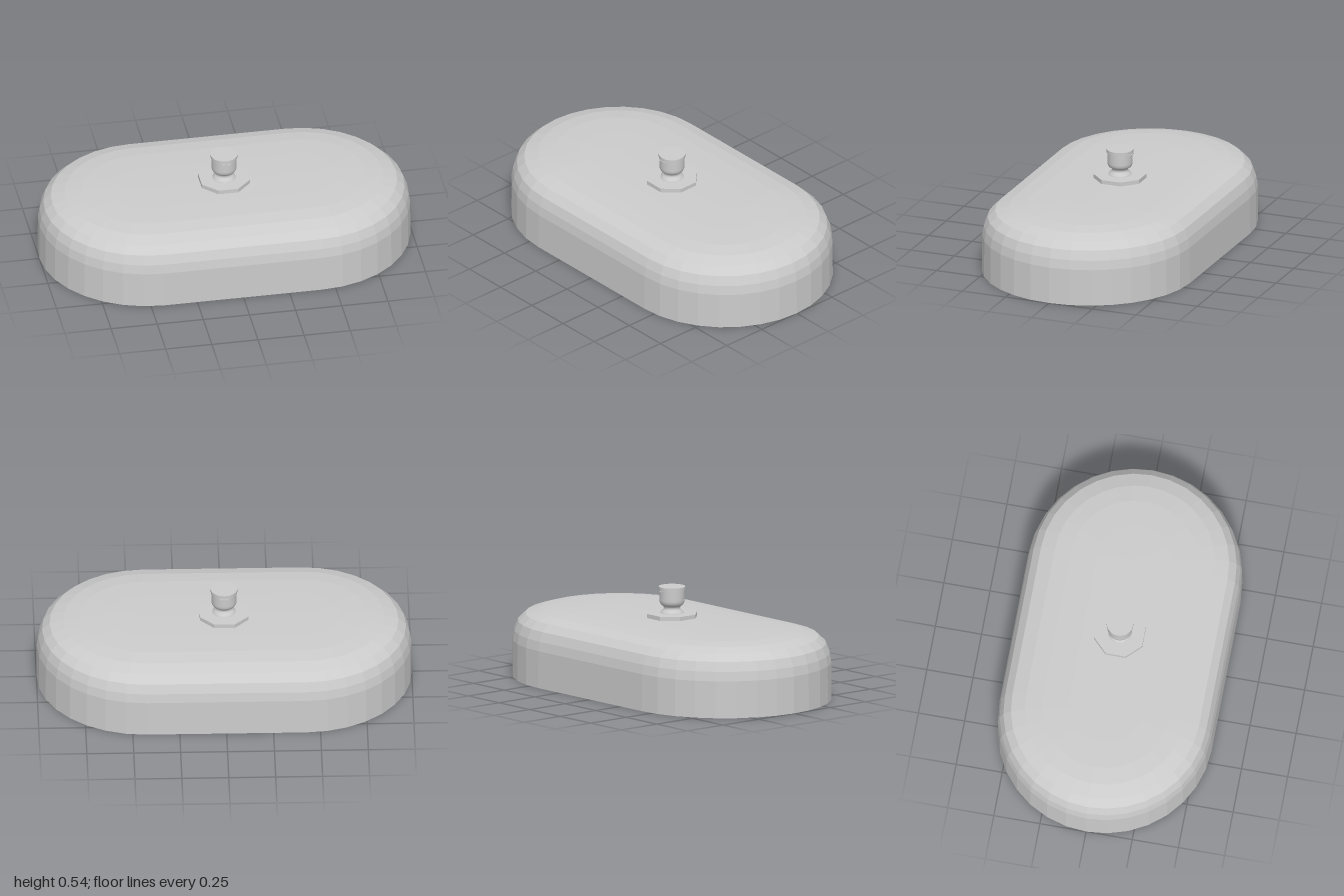
import * as THREE from 'three';

const HALF_STRAIGHT = 0.425; // half length of the straight sides
const ARC_STEPS = 16;        // facets per rounded end

const grey = new THREE.MeshStandardMaterial({ color: 0xcccccc });
const facetedGrey = new THREE.MeshStandardMaterial({ color: 0xcccccc, flatShading: true });

// Closed stadium outline of radius r at height y
function stadium(r, y) {
  const points = [];
  for (const side of [1, -1]) {
    for (let i = 0; i <= ARC_STEPS; i++) {
      const a = -Math.PI / 2 + (i / ARC_STEPS) * Math.PI;
      points.push([side * (HALF_STRAIGHT + r * Math.cos(a)), y, side * r * Math.sin(a)]);
    }
  }
  return points;
}

// Skin a [radius, height] profile around the stadium
function loftStadium(profile) {
  const rings = profile.map(([r, y]) => stadium(r, y));
  const n = rings[0].length;
  const index = [];
  for (let k = 0; k < rings.length - 1; k++) {
    for (let i = 0; i < n; i++) {
      const a = k * n + i, b = k * n + ((i + 1) % n);
      index.push(a, a + n, b, b, a + n, b + n);
    }
  }
  const indexed = new THREE.BufferGeometry();
  indexed.setAttribute('position', new THREE.Float32BufferAttribute(rings.flat(2), 3));
  indexed.setIndex(index);
  const geometry = indexed.toNonIndexed();
  geometry.computeVertexNormals();
  return geometry;
}

// Evenly spaced [x, z] spots along a stadium line of radius r
function spotsAround(r, spacing) {
  const straight = 2 * HALF_STRAIGHT, arc = Math.PI * r;
  const half = straight + arc;
  const count = Math.round(half / spacing);
  const spots = [];
  for (const side of [1, -1]) {
    for (let i = 0; i < count; i++) {
      const d = (i / count) * half;
      if (d < straight) {
        spots.push([side * (d - HALF_STRAIGHT), -side * r]);
      } else {
        const a = -Math.PI / 2 + (d - straight) / r;
        spots.push([side * (HALF_STRAIGHT + r * Math.cos(a)), side * r * Math.sin(a)]);
      }
    }
  }
  return spots;
}

export function createModel() {
  const model = new THREE.Group();
  model.name = 'showerHead';

  function add(name, geometry, material, x = 0, y = 0, z = 0, parent = model) {
    const mesh = new THREE.Mesh(geometry, material);
    mesh.name = name;
    mesh.position.set(x, y, z);
    parent.add(mesh);
    return mesh;
  }

  // Housing: sloped inner wall, thin rim, upright side, rounded shoulder and flat top
  add('housing', loftStadium([
    [0.47, 0.09], [0.558, 0], [0.575, 0], [0.574, 0.2], [0.565, 0.25], [0.545, 0.3],
    [0.505, 0.338], [0.43, 0.36], [0.34, 0.371], [0.2, 0.378], [0, 0.38],
  ]), facetedGrey);

  // Recessed spray plate, facing down
  const plateY = 0.09;
  add('sprayPlate', loftStadium([[0, plateY], [0.47, plateY]]), facetedGrey);

  // Nozzles in concentric rows, with one row along the middle
  const nozzles = new THREE.Group();
  nozzles.name = 'nozzles';
  model.add(nozzles);
  const nozzleGeometry = new THREE.SphereGeometry(0.013, 8, 6);
  const spots = [0.4, 0.27, 0.135].flatMap((r) => spotsAround(r, 0.15));
  for (let i = 0; i < 7; i++) spots.push([-0.45 + i * 0.15, 0]);
  for (const [x, z] of spots) add('nozzle', nozzleGeometry, grey, x, plateY, z, nozzles);

  // Octagonal flange with its flats on the axes
  const flangeRadius = 0.13 / Math.cos(Math.PI / 8);
  const flange = add('flange', new THREE.CylinderGeometry(flangeRadius, flangeRadius, 0.03, 8),
    facetedGrey, 0, 0.386, 0);
  flange.rotation.y = Math.PI / 8;

  // Waisted connector; corners are doubled where the edge stays sharp
  const connectorProfile = [
    [0.062, 0.4], [0.06, 0.408], [0.046, 0.42], [0.043, 0.43], [0.048, 0.438], [0.06, 0.446],
    [0.066, 0.458], [0.067, 0.47], [0.067, 0.525], [0.067, 0.525], [0.071, 0.525],
    [0.071, 0.525], [0.071, 0.543], [0.071, 0.543], [0, 0.543],
  ].map(([r, y]) => new THREE.Vector2(r, y));
  add('connector', new THREE.LatheGeometry(connectorProfile, 32), grey);

  // Small tabs under the connector lip, front and back
  for (const side of [1, -1]) {
    add('connectorTab', new THREE.BoxGeometry(0.045, 0.006, 0.01), grey, 0, 0.519, side * 0.065);
  }

  return model;
}
